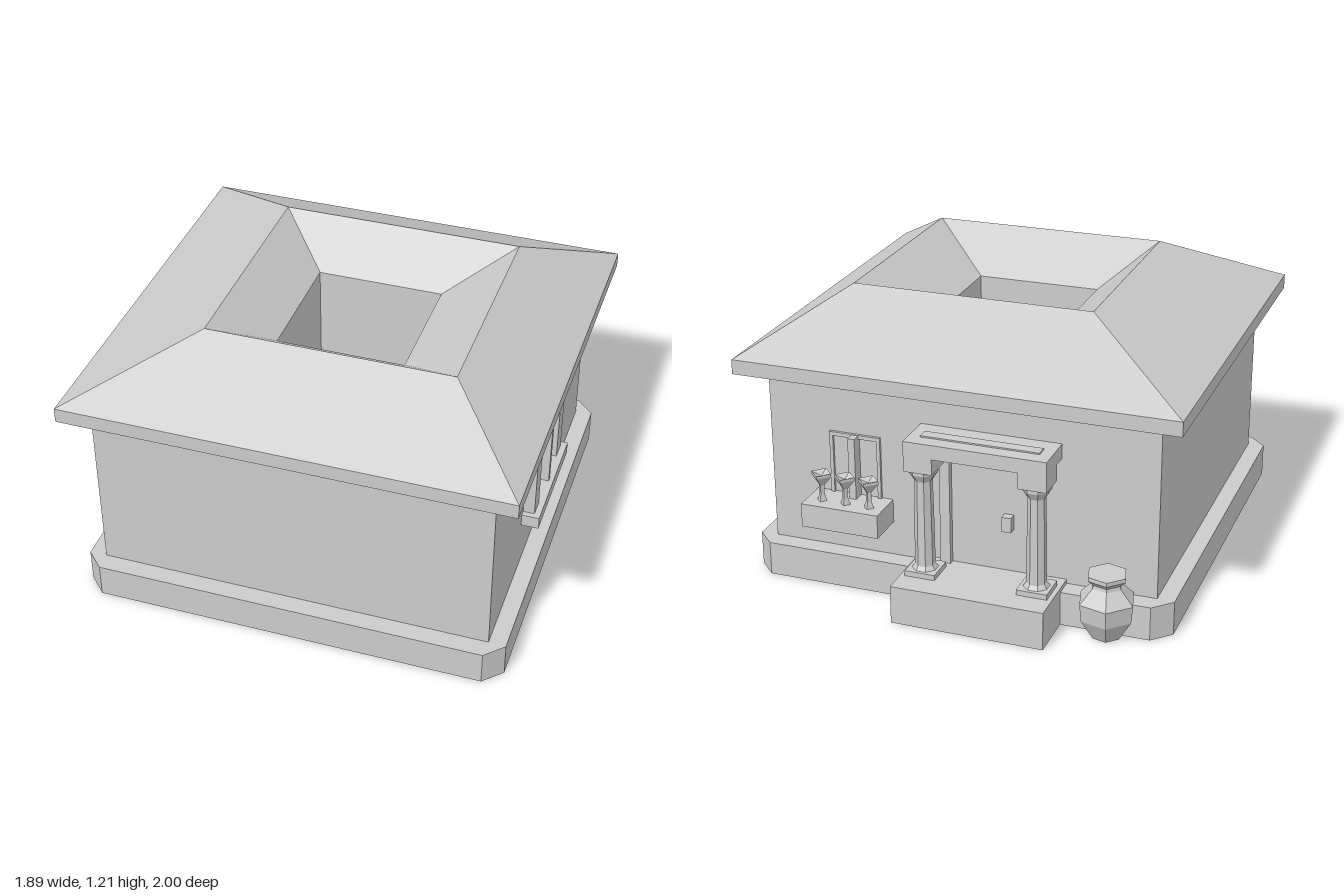
import * as THREE from 'three';

// Double-sided because the plinth, step and planter are open underneath
const stone = new THREE.MeshStandardMaterial({ color: 0xcccccc, side: THREE.DoubleSide });
stone.name = 'light grey';

function add(parent, name, geometry) {
  const flat = geometry.index ? geometry.toNonIndexed() : geometry;
  flat.computeVertexNormals();
  const mesh = new THREE.Mesh(flat, stone);
  mesh.name = name;
  parent.add(mesh);
  return mesh;
}

// Box given by its limits on each axis, optionally without its underside
function block(parent, name, x0, x1, y0, y1, z0, z1, openBelow = false) {
  const g = new THREE.BoxGeometry(x1 - x0, y1 - y0, z1 - z0);
  g.translate((x0 + x1) / 2, (y0 + y1) / 2, (z0 + z1) / 2);
  if (openBelow) g.setIndex([...g.index.array].filter((_, i) => i < 18 || i >= 24));
  return add(parent, name, g);
}

// Rectangular loop of corners at one height
function rect(x0, x1, z0, z1, y) {
  return [[x0, y, z1], [x1, y, z1], [x1, y, z0], [x0, y, z0]];
}

// Skin through closed loops with equal numbers of corners
function skin(parent, name, loops) {
  const n = loops[0].length, idx = [];
  for (let i = 0; i < loops.length - 1; i++) {
    for (let j = 0; j < n; j++) {
      const a = i * n + j, b = i * n + (j + 1) % n;
      idx.push(a, b, b + n, a, b + n, a + n);
    }
  }
  const g = new THREE.BufferGeometry();
  g.setAttribute('position', new THREE.Float32BufferAttribute(loops.flat(2), 3));
  g.setIndex(idx);
  return add(parent, name, g);
}

// Turned part from [radius, height] pairs
function turned(parent, name, profile, sides, x, z, turn) {
  const g = new THREE.LatheGeometry(profile.map(([r, y]) => new THREE.Vector2(r, y)), sides);
  g.rotateY(turn);
  g.translate(x, 0, z);
  return add(parent, name, g);
}

function group(parent, name) {
  const g = new THREE.Group();
  g.name = name;
  parent.add(g);
  return g;
}

export function createModel() {
  const house = new THREE.Group();
  house.name = 'house';

  // Hollow plinth with chamfered corners, its top also being the floor
  const X = 0.913, F = 0.983, B = -0.785, c = 0.077;
  const outline = [
    [-X + c, F], [X - c, F], [X, F - c], [X, B + c],
    [X - c, B], [-X + c, B], [-X, B + c], [-X, F - c],
  ];
  skin(house, 'plinthSides', [0, 0.147].map((y) => outline.map(([x, z]) => [x, y, z])));
  const floor = new THREE.ShapeGeometry(
    new THREE.Shape(outline.map(([x, z]) => new THREE.Vector2(x, -z))));
  floor.rotateX(-Math.PI / 2);
  floor.translate(0, 0.147, 0);
  add(house, 'plinthTop', floor);

  // Walls, hipped roof and the open courtyard in the middle
  skin(house, 'walls', [rect(-0.84, 0.84, -0.703, 0.903, 0.147), rect(-0.84, 0.84, -0.703, 0.903, 0.912)]);
  skin(house, 'roof', [
    rect(-0.84, 0.84, -0.703, 0.903, 0.912),
    rect(-0.947, 0.947, -0.815, 1, 0.912),
    rect(-0.947, 0.947, -0.815, 1, 0.975),
    rect(-0.455, 0.59, -0.38, 0.6, 1.205),
    rect(-0.24, 0.307, -0.18, 0.36, 1.03),
  ]);
  skin(house, 'courtyardWalls', [
    rect(-0.24, 0.307, -0.18, 0.36, 1.03),
    rect(-0.24, 0.307, -0.18, 0.36, 0.147),
  ]);

  // Shuttered window on the left side
  const side = group(house, 'sideWindow');
  block(side, 'windowSill', 0.83, 0.914, 0.362, 0.416, -0.12, 0.41, true);
  block(side, 'windowHead', 0.83, 0.852, 0.667, 0.693, -0.03, 0.315);
  for (const [z0, z1] of [[-0.03, -0.013], [0.298, 0.315]]) {
    block(side, 'windowJamb', 0.83, 0.852, 0.416, 0.667, z0, z1);
  }
  for (const [z0, z1] of [[-0.095, -0.015], [0.305, 0.385]]) {
    block(side, 'shutter', 0.83, 0.888, 0.416, 0.667, z0, z1);
  }
  block(side, 'windowBar', 0.83, 0.895, 0.416, 0.677, 0.135, 0.16);

  // Back window with planter
  const back = group(house, 'backWindow');
  for (const x of [0.345, 0.555]) {
    block(back, 'windowJamb', x, x + 0.015, 0.4, 0.672, -0.715, -0.69);
  }
  block(back, 'windowHead', 0.345, 0.57, 0.655, 0.672, -0.715, -0.69);
  block(back, 'windowBar', 0.44, 0.47, 0.4, 0.67, -0.755, -0.69);
  block(back, 'planter', 0.297, 0.637, 0.297, 0.4, -0.868, -0.7, true);
  for (const x of [0.36, 0.465, 0.57]) {
    turned(back, 'flower', [
      [0.022, 0.4], [0.012, 0.43], [0.012, 0.47], [0.025, 0.487],
      [0.045, 0.512], [0.045, 0.525], [0, 0.51],
    ], 4, x, -0.805, 0);
  }

  // Porch with step, two columns and lintel
  const porch = group(house, 'porch');
  const mid = -0.135;
  block(porch, 'step', mid - 0.325, mid + 0.325, 0, 0.165, -1, -0.7, true);
  block(porch, 'lintel', mid - 0.3, mid + 0.3, 0.7, 0.762, -0.893, -0.69);
  block(porch, 'lintelPanel', mid - 0.25, mid + 0.25, 0.758, 0.768, -0.83, -0.78);
  for (const s of [-1, 1]) {
    const x = mid + s * 0.24;
    block(porch, 'columnBase', x - 0.065, x + 0.065, 0.165, 0.188, -0.895, -0.765);
    turned(porch, 'column', [
      [0.055, 0.188], [0.042, 0.205], [0.04, 0.4], [0.037, 0.58], [0.06, 0.615], [0.06, 0.632],
    ], 8, x, -0.83, Math.PI / 8);
    block(porch, 'capital', x - 0.06, x + 0.06, 0.63, 0.7, -0.89, -0.765);
  }

  // Door with frame and lock
  const door = group(house, 'door');
  block(door, 'doorLeaf', mid - 0.17, mid + 0.17, 0.165, 0.64, -0.709, -0.7);
  for (const s of [-1, 1]) {
    const x = mid + s * 0.19;
    block(door, 'doorJamb', x - 0.022, x + 0.022, 0.165, 0.64, -0.735, -0.69);
  }
  block(door, 'doorHead', mid - 0.212, mid + 0.212, 0.64, 0.7, -0.735, -0.69);
  block(door, 'doorLock', -0.235, -0.195, 0.355, 0.42, -0.745, -0.69);

  // Urn beside the step
  turned(house, 'urn', [
    [0, 0], [0.06, 0], [0.115, 0.09], [0.122, 0.165], [0.065, 0.225],
    [0.062, 0.24], [0.085, 0.262], [0.085, 0.28], [0, 0.28],
  ], 6, -0.66, -0.803, Math.PI / 12);

  return house;
}
